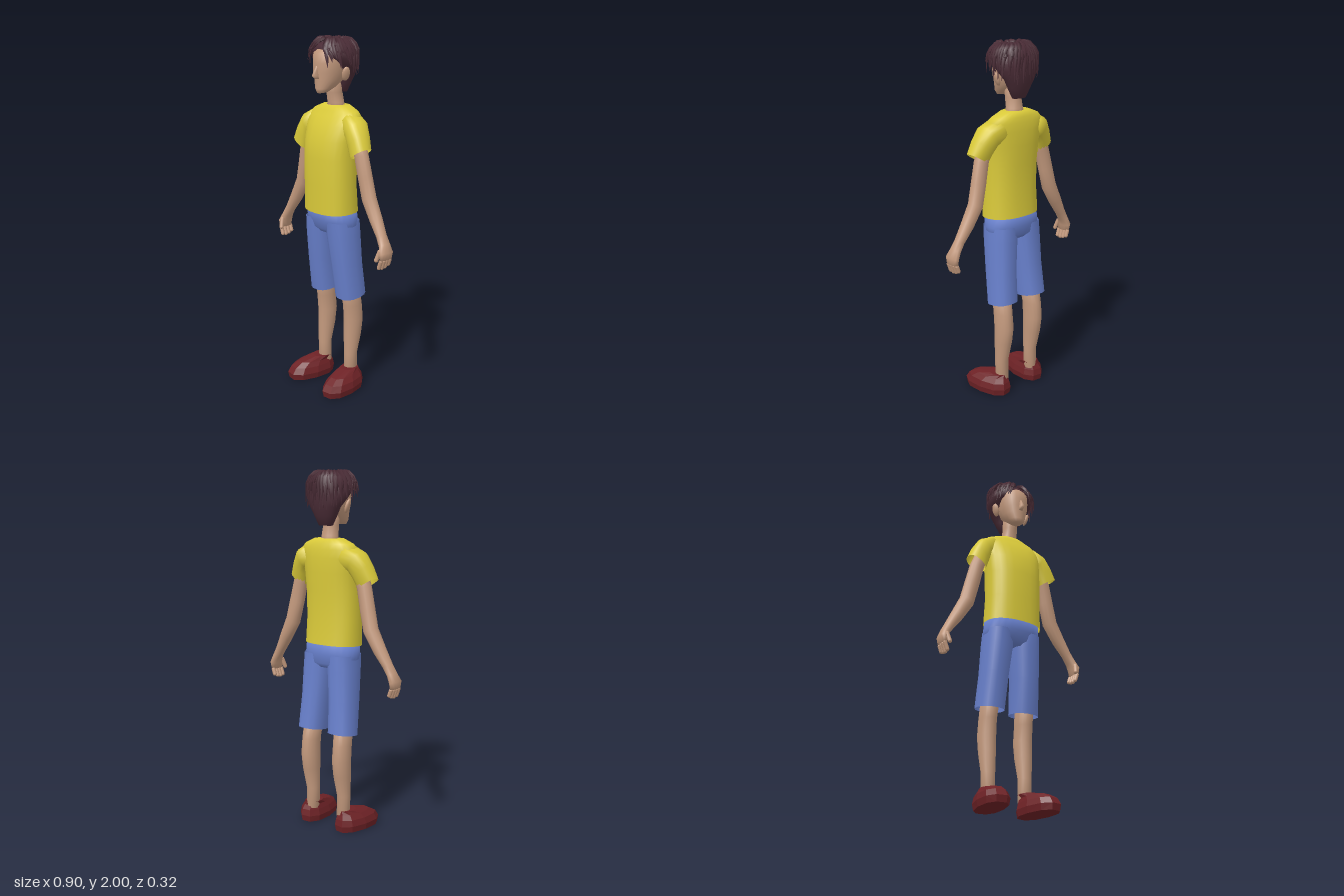
import * as THREE from 'three';
import { mergeGeometries } from 'three/addons/utils/BufferGeometryUtils.js';

const mat = (name, color, side = THREE.FrontSide) => {
  const m = new THREE.MeshStandardMaterial({ color, side });
  m.name = name;
  return m;
};

// Skin over rings listed bottom to top: [x, y, z, radiusU, radiusZ, tilt about z, front lift]
function loft(rows, { seg = 16, pow = 0.85, capBottom = true, capTop = true } = {}) {
  const pos = [], idx = [];
  const bend = v => Math.sign(v) * Math.abs(v) ** pow;
  for (const [x, y, z, ru, rz, tilt = 0, lift = 0] of rows) {
    for (let j = 0; j < seg; j++) {
      const a = (j / seg) * Math.PI * 2;
      const u = bend(Math.cos(a)) * ru, v = bend(Math.sin(a));
      pos.push(x + u * Math.cos(tilt), y + u * Math.sin(tilt) + lift * v, z + v * rz);
    }
  }
  for (let i = 0; i < rows.length - 1; i++) {
    for (let j = 0; j < seg; j++) {
      const a = i * seg + j, b = i * seg + ((j + 1) % seg), c = a + seg, d = b + seg;
      idx.push(a, c, b, b, c, d);
    }
  }
  const cap = (row, start, top) => {
    const n = pos.length / 3;
    pos.push(row[0], row[1], row[2]);
    for (let j = 0; j < seg; j++) {
      const a = start + j, b = start + ((j + 1) % seg);
      top ? idx.push(n, b, a) : idx.push(n, a, b);
    }
  };
  if (capBottom) cap(rows[0], 0, false);
  if (capTop) cap(rows[rows.length - 1], (rows.length - 1) * seg, true);
  const g = new THREE.BufferGeometry();
  g.setAttribute('position', new THREE.Float32BufferAttribute(pos, 3));
  g.setIndex(idx);
  g.computeVertexNormals();
  return g;
}

// Copy across x = 0 with the face order turned round
function mirror(geo) {
  const g = geo.index ? geo.toNonIndexed() : geo.clone();
  for (const attr of Object.values(g.attributes)) {
    const s = attr.itemSize, arr = attr.array;
    for (let i = 0; i < attr.count; i += 3) {
      for (let k = 0; k < s; k++) {
        const p = (i + 1) * s + k, q = (i + 2) * s + k;
        [arr[p], arr[q]] = [arr[q], arr[p]];
      }
    }
    if (s === 3) for (let i = 0; i < arr.length; i += 3) arr[i] *= -1;
  }
  return g;
}

// One flat, tapering lock of hair along a curve, facing away from the skull centre
function lock(points, width) {
  const curve = new THREE.CatmullRomCurve3(points), n = 7, pos = [], idx = [];
  const centre = new THREE.Vector3(0, 1.86, -0.035);
  for (let i = 0; i <= n; i++) {
    const t = i / n, p = curve.getPoint(t), dir = curve.getTangent(t);
    const out = p.clone().sub(centre).normalize();
    const sideways = new THREE.Vector3().crossVectors(dir, out).normalize();
    out.crossVectors(sideways, dir);
    const w = width * (0.06 + Math.sin(Math.PI * Math.min(1, 0.2 + t * 0.8)));
    for (const [s, o] of [[1, 0], [0, 0.4], [-1, 0], [0, -0.4]]) {
      const v = p.clone().addScaledVector(sideways, s * w).addScaledVector(out, o * w);
      pos.push(v.x, v.y, v.z);
    }
  }
  for (let i = 0; i < n; i++) {
    for (let j = 0; j < 4; j++) {
      const a = i * 4 + j, b = i * 4 + ((j + 1) % 4);
      idx.push(a, b, a + 4, b, b + 4, a + 4);
    }
  }
  const g = new THREE.BufferGeometry();
  g.setAttribute('position', new THREE.Float32BufferAttribute(pos, 3));
  g.setIndex(idx);
  g.computeVertexNormals();
  return g;
}

export function createModel() {
  const model = new THREE.Group();
  model.name = 'boy';
  const skin = mat('skin', 0xc49a7e);
  const yellow = mat('yellow cloth', 0xdaca3a, THREE.DoubleSide);
  const blue = mat('blue cloth', 0x6880cc, THREE.DoubleSide);
  const red = mat('dark red shoe', 0x6e2226);
  const brown = mat('dark brown hair', 0x4a2c36, THREE.DoubleSide);
  const add = (name, geo, material) => {
    const m = new THREE.Mesh(geo, material);
    m.name = name;
    model.add(m);
  };
  const pair = (name, geo, material) => {
    add(name + 'Left', geo, material);
    add(name + 'Right', mirror(geo), material);
  };

  // Shirt body and sleeves
  add('shirt', loft([
    [0, 1.05, -0.018, 0.167, 0.118, 0, -0.006], [0, 1.2, -0.012, 0.163, 0.113],
    [0, 1.35, -0.013, 0.165, 0.115], [0, 1.45, -0.022, 0.17, 0.112],
    [0, 1.53, -0.037, 0.183, 0.097], [0, 1.575, -0.048, 0.185, 0.081],
    [0, 1.605, -0.054, 0.155, 0.068], [0, 1.632, -0.055, 0.088, 0.055],
  ], { seg: 24, capBottom: false }), yellow);
  pair('sleeve', loft([
    [0.237, 1.395, -0.018, 0.062, 0.053, 0.55], [0.212, 1.455, -0.027, 0.063, 0.062, 0.75],
    [0.18, 1.51, -0.038, 0.064, 0.072, 1.0], [0.12, 1.54, -0.048, 0.066, 0.072, 1.2],
  ], { capBottom: false }), yellow);

  // Shorts
  add('shortsSeat', loft([
    [0, 0.925, -0.033, 0.12, 0.07], [0, 0.95, -0.032, 0.165, 0.092],
    [0, 1.0, -0.027, 0.167, 0.102], [0, 1.07, -0.022, 0.16, 0.107],
  ], { seg: 24 }), blue);
  pair('shortsLeg', loft([
    [0.107, 0.558, -0.071, 0.077, 0.083, 0, -0.012], [0.098, 0.75, -0.047, 0.077, 0.088],
    [0.087, 0.92, -0.033, 0.083, 0.095], [0.084, 1.0, -0.028, 0.08, 0.097],
  ], { seg: 14, capBottom: false, capTop: false }), blue);

  // Legs and shoes
  pair('leg', loft([
    [0.112, 0.08, -0.07, 0.036, 0.04], [0.113, 0.2, -0.068, 0.038, 0.038],
    [0.113, 0.32, -0.082, 0.046, 0.054], [0.113, 0.41, -0.088, 0.049, 0.06],
    [0.113, 0.5, -0.08, 0.047, 0.06], [0.108, 0.62, -0.06, 0.05, 0.06],
  ], { pow: 1 }), skin);
  const shoe = loft([
    [0, 0, 0, 0.072, 0.143], [0, 0.035, 0, 0.079, 0.15], [0, 0.07, -0.008, 0.07, 0.135],
    [-0.004, 0.096, -0.025, 0.055, 0.105], [-0.012, 0.117, -0.07, 0.047, 0.055],
  ], { seg: 10 }).toNonIndexed();
  shoe.rotateY(0.14).translate(0.142, 0, 0.016);
  shoe.computeVertexNormals();
  pair('shoe', shoe, red);

  // Arms and hands
  pair('arm', loft([
    [0.428, 0.855, -0.027, 0.017, 0.042, 0.1], [0.43, 0.89, -0.028, 0.022, 0.048, 0.3],
    [0.412, 0.93, -0.033, 0.024, 0.036, 0.5], [0.385, 0.975, -0.036, 0.028, 0.03, 0.55],
    [0.335, 1.055, -0.042, 0.037, 0.036, 0.55], [0.278, 1.155, -0.045, 0.044, 0.039, 0.4],
    [0.25, 1.27, -0.04, 0.044, 0.038, 0.25], [0.225, 1.38, -0.035, 0.042, 0.038, 0.3],
    [0.19, 1.47, -0.035, 0.04, 0.04, 0.6],
  ], { seg: 12, pow: 1 }), skin);
  const fingers = [];
  for (let i = 0; i < 4; i++) {
    const length = [0.03, 0.04, 0.044, 0.04][i], z = -0.06 + i * 0.022;
    fingers.push(new THREE.CapsuleGeometry(0.0115, length, 3, 8)
      .rotateZ(-0.35).translate(0.42, 0.866 - length / 2 - 0.015, z));
  }
  fingers.push(new THREE.CapsuleGeometry(0.012, 0.05, 3, 8)
    .rotateX(-0.3).rotateZ(-0.2).translate(0.412, 0.88, 0.014));
  pair('fingers', mergeGeometries(fingers), skin);

  // Neck, head, nose and ears
  add('neck', loft([
    [0, 1.58, -0.055, 0.065, 0.05], [0, 1.645, -0.05, 0.047, 0.044],
    [0, 1.7, -0.04, 0.042, 0.045], [0, 1.78, -0.035, 0.045, 0.05],
  ], { pow: 1 }), skin);
  add('head', loft([
    [0, 1.705, 0.042, 0.026, 0.033, 0, -0.004], [0, 1.73, 0.022, 0.05, 0.06, 0, -0.006],
    [0, 1.77, -0.004, 0.068, 0.085], [0, 1.81, -0.014, 0.081, 0.1],
    [0, 1.86, -0.02, 0.088, 0.106], [0, 1.91, -0.027, 0.09, 0.108], [0, 1.95, -0.03, 0.065, 0.08],
  ], { seg: 20, pow: 0.95 }), skin);
  add('nose', loft([
    [0, 1.778, 0.083, 0.013, 0.012], [0, 1.795, 0.09, 0.014, 0.028], [0, 1.845, 0.08, 0.006, 0.01],
  ], { seg: 8, pow: 1 }), skin);
  pair('ear', new THREE.SphereGeometry(1, 12, 8).scale(0.013, 0.04, 0.023)
    .rotateZ(-0.3).rotateY(-0.35).translate(0.105, 1.805, -0.028), skin);

  // Hair: a full cap over the back of the skull
  add('hairCap', loft([
    [0, 1.7, -0.085, 0.045, 0.025], [0, 1.75, -0.085, 0.07, 0.045], [0, 1.8, -0.088, 0.097, 0.058],
    [0, 1.85, -0.07, 0.128, 0.082], [0, 1.885, -0.052, 0.136, 0.1], [0, 1.92, -0.042, 0.132, 0.112],
    [0, 1.95, -0.04, 0.105, 0.095], [0, 1.97, -0.04, 0.05, 0.055],
  ], { seg: 20, pow: 1 }), brown);

  // Layers of loose locks falling from the crown, parted at the front
  let seed = 11;
  const rand = () => (seed = (seed * 16807) % 2147483647) / 2147483647;
  const locks = [];
  for (let layer = 0; layer < 3; layer++) {
    const count = 30;
    for (let i = 0; i < count; i++) {
      const phi = ((i + 0.5 + (rand() - 0.5) * 0.7) / count * 2 - 1) * Math.PI;
      if (Math.abs(phi) < 0.2) continue;
      const back = (1 - Math.cos(phi)) / 2;
      const sx = Math.sin(phi), cz = Math.cos(phi);
      const at = (r, y, turn = 0) => new THREE.Vector3(
        Math.sin(phi + turn) * 0.143 * r, y, Math.cos(phi + turn) * 0.118 * r - 0.037);
      const endY = 1.855 - 0.075 * back ** 2 + layer * 0.03 + (rand() - 0.5) * 0.04;
      const sweep = Math.sign(sx) * (0.12 + rand() * 0.15) * (cz > 0 ? 1 : -0.5);
      locks.push(lock([
        new THREE.Vector3(Math.sign(sx) * 0.012 + sx * 0.02, 1.955, -0.03 + cz * 0.03),
        at(0.58, 1.975 + rand() * 0.015),
        at(0.98, 1.93 + rand() * 0.012, sweep * 0.4),
        at(1.03 - 0.1 * back + rand() * 0.1, endY, sweep),
      ], 0.014 + rand() * 0.007));
    }
  }
  add('hairLocks', mergeGeometries(locks), brown);

  return model;
}
